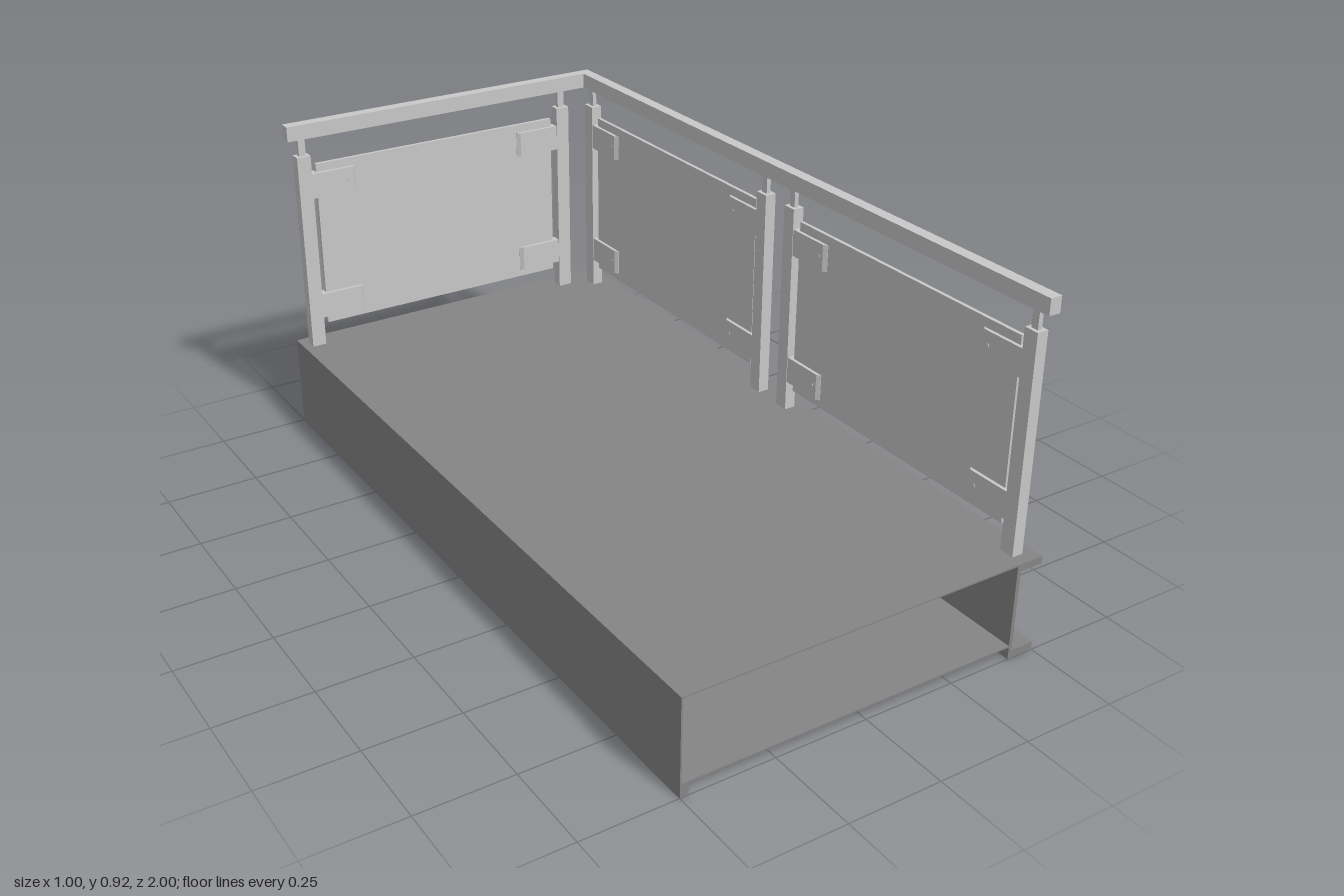
import * as THREE from 'three';

export function createModel() {
  const model = new THREE.Group();
  model.name = 'balcony';

  const deckGrey = new THREE.MeshStandardMaterial({ color: 0x858585, side: THREE.DoubleSide });
  deckGrey.name = 'deck grey';
  const railGrey = new THREE.MeshStandardMaterial({ color: 0xc8c8c8 });
  railGrey.name = 'rail light grey';

  const add = (parent, name, geometry, material) => {
    const mesh = new THREE.Mesh(geometry, material);
    mesh.name = name;
    parent.add(mesh);
    return mesh;
  };
  // box given by its two extremes on each axis
  const box = (parent, name, material, x0, x1, y0, y1, z0, z1) => {
    const g = new THREE.BoxGeometry(x1 - x0, y1 - y0, z1 - z0);
    g.translate((x0 + x1) / 2, (y0 + y1) / 2, (z0 + z1) / 2);
    return add(parent, name, g, material);
  };

  // ---- platform: thin deck and left fascia, open at the front ----
  const platform = new THREE.Group();
  platform.name = 'platform';
  model.add(platform);
  box(platform, 'deckPlate', deckGrey, -0.5, 0.425, 0.256, 0.26, -0.95, 1);
  box(platform, 'leftFascia', deckGrey, -0.5, -0.496, 0.037, 0.256, -0.96, 1);
  box(platform, 'leftLip', deckGrey, -0.5, -0.478, 0, 0.037, -0.96, 1);
  box(platform, 'backLeftEnd', deckGrey, -0.5, -0.478, 0, 0.26, -1, -0.95);

  // channel beams with flanges turned outward
  box(platform, 'rightWeb', deckGrey, 0.425, 0.435, 0.022, 0.24, -0.96, 1);
  box(platform, 'backWeb', deckGrey, -0.478, 0.425, 0.022, 0.24, -0.96, -0.95);
  for (const [name, y0, y1] of [['Bottom', 0, 0.022], ['Top', 0.24, 0.26]]) {
    box(platform, 'right' + name + 'Flange', deckGrey, 0.425, 0.5, y0, y1, -1, 1);
    box(platform, 'back' + name + 'Flange', deckGrey, -0.478, 0.425, y0, y1, -1, -0.95);
  }

  // soffit panel with three octagonal recesses
  const lampX = -0.027, lampR = 0.092, lampZ = [-0.485, 0, 0.485];
  const soffit = new THREE.Shape([
    new THREE.Vector2(-0.478, -1), new THREE.Vector2(0.425, -1),
    new THREE.Vector2(0.425, 0.95), new THREE.Vector2(-0.478, 0.95),
  ]);
  for (const z of lampZ) {
    const points = [];
    for (let i = 0; i < 8; i++) {
      const a = -i * Math.PI / 4;
      points.push(new THREE.Vector2(lampX + lampR * Math.cos(a), -z + lampR * Math.sin(a)));
    }
    soffit.holes.push(new THREE.Path(points));
    const side = new THREE.CylinderGeometry(lampR, lampR, 0.022, 8, 1, true).toNonIndexed();
    side.computeVertexNormals();
    add(platform, 'recessSide', side, deckGrey).position.set(lampX, 0.044, z);
    const cap = new THREE.CircleGeometry(lampR, 8);
    cap.rotateX(-Math.PI / 2);
    add(platform, 'recessCap', cap, deckGrey).position.set(lampX, 0.055, z);
  }
  const soffitGeo = new THREE.ExtrudeGeometry(soffit, { depth: 0.004, bevelEnabled: false });
  soffitGeo.rotateX(-Math.PI / 2);
  add(platform, 'soffitPanel', soffitGeo, deckGrey).position.y = 0.033;

  // ---- railing bay: two posts, an infill panel and four clamps ----
  const clampGeometry = () => {
    // plan outline with a bevelled free end
    const s = new THREE.Shape([
      new THREE.Vector2(0, -0.014), new THREE.Vector2(0.122, -0.014),
      new THREE.Vector2(0.132, -0.006), new THREE.Vector2(0.132, 0.006),
      new THREE.Vector2(0.122, 0.014), new THREE.Vector2(0, 0.014),
    ]);
    const g = new THREE.ExtrudeGeometry(s, { depth: 0.072, bevelEnabled: false });
    g.rotateX(-Math.PI / 2);
    return g;
  };
  const postW = 0.04;
  const bay = (name, length) => {
    const group = new THREE.Group();
    group.name = name;
    model.add(group);
    for (const end of [0, 1]) {
      const c = end ? length - postW / 2 : postW / 2;
      box(group, 'post', railGrey, c - 0.02, c + 0.02, 0.26, 0.83, -0.0155, 0.0155);
      box(group, 'postPin', railGrey, c - 0.01, c + 0.01, 0.83, 0.88, -0.006, 0.006);
      for (const y of [0.342, 0.704]) {
        const clamp = add(group, 'clamp', clampGeometry(), railGrey);
        clamp.position.set(end ? length - postW : postW, y, 0);
        clamp.rotation.y = end ? Math.PI : 0;
        const screw = new THREE.CylinderGeometry(0.005, 0.005, 0.031, 12);
        screw.rotateX(Math.PI / 2);
        add(group, 'screw', screw, railGrey)
          .position.set(end ? length - 0.147 : 0.147, y + 0.036, 0);
      }
    }
    box(group, 'infillPanel', railGrey, 0.056, length - 0.056, 0.32, 0.8, -0.005, 0.005);
    return group;
  };

  bay('backBay', 0.859).position.set(-0.477, 0, -0.95);
  for (const [name, z] of [['sideFrontBay', 0.968], ['sideBackBay', -0.02]]) {
    const b = bay(name, 0.909);
    b.position.set(0.452, 0, z);
    b.rotation.y = Math.PI / 2;
  }

  // handrail along the right side and the back
  box(model, 'sideHandrail', railGrey, 0.436, 0.468, 0.88, 0.922, -0.966, 0.995);
  box(model, 'backHandrail', railGrey, -0.5, 0.436, 0.88, 0.922, -0.966, -0.934);

  return model;
}
